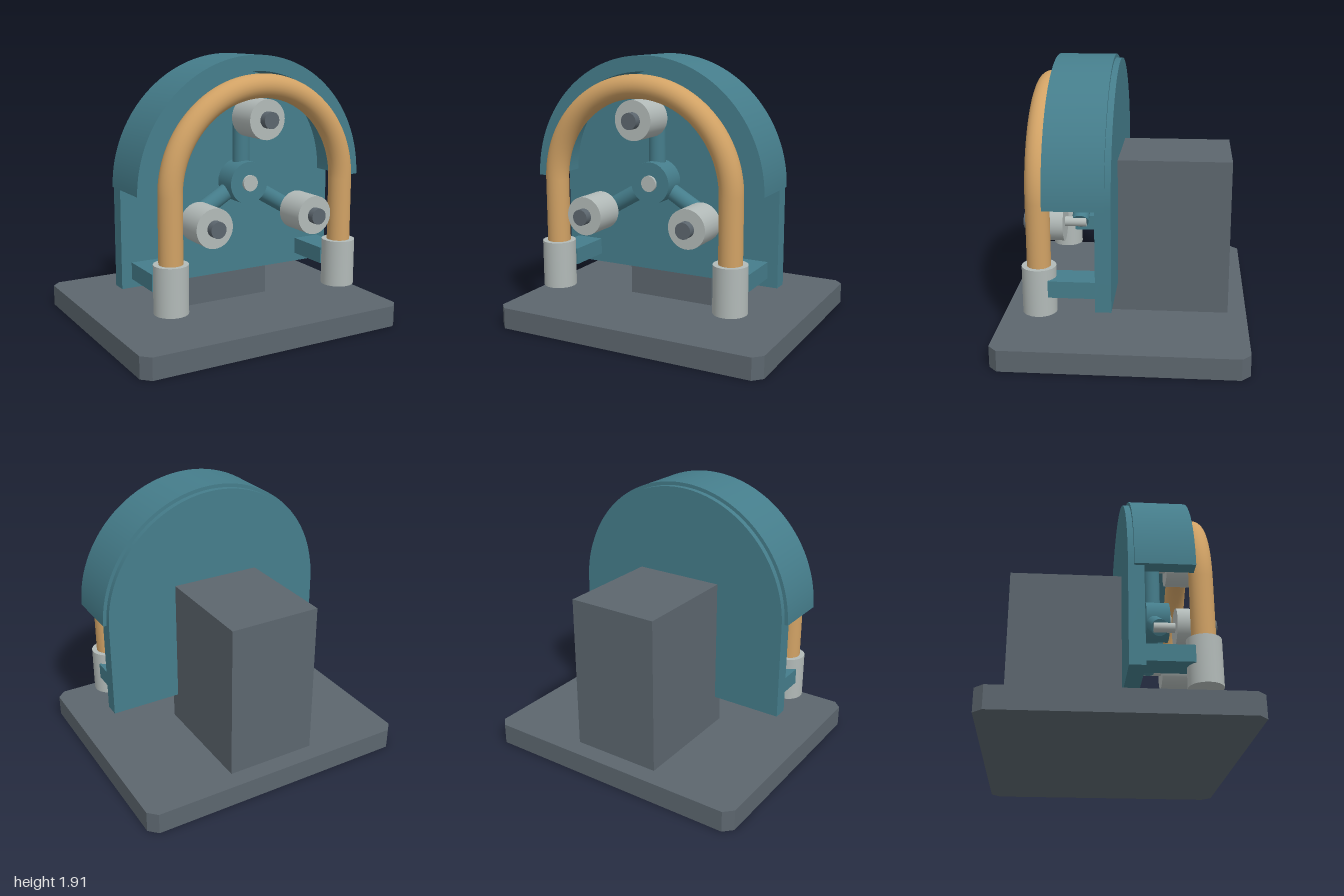
import * as THREE from 'three';
import { toCreasedNormals } from 'three/addons/utils/BufferGeometryUtils.js';

const mat = (color) => new THREE.MeshStandardMaterial({ color });
const AXIS_Y = 1.055; // height of the rotor axis
const TUBE_R = 0.663; // radius of the hose bend
const TUBE_Z = 0.551;

export function createModel() {
  const model = new THREE.Group();
  const dark = mat(0x5c666e), teal = mat(0x457d8b), steel = mat(0xb2bab8), amber = mat(0xd1a265);

  const add = (parent, name, geometry, material, x = 0, y = 0, z = 0) => {
    const mesh = new THREE.Mesh(geometry, material);
    mesh.name = name;
    mesh.position.set(x, y, z);
    parent.add(mesh);
    return mesh;
  };
  // cylinder along z between two depths
  const rod = (parent, name, r, z0, z1, material, x = 0, y = 0) =>
    add(parent, name, new THREE.CylinderGeometry(r, r, z1 - z0, 32).rotateX(Math.PI / 2), material, x, y, (z0 + z1) / 2);
  // shape extruded along z between two depths
  const slab = (shape, z0, z1) => toCreasedNormals(
    new THREE.ExtrudeGeometry(shape, { depth: z1 - z0, bevelEnabled: false, curveSegments: 48 }).translate(0, 0, z0), 0.5);

  // base plate with chamfered corners
  const w = 1, d = 0.85, c = 0.06;
  const outline = new THREE.Shape([
    [w, c - d], [w, d - c], [w - c, d], [c - w, d],
    [-w, d - c], [-w, c - d], [c - w, -d], [w - c, -d],
  ].map(([x, y]) => new THREE.Vector2(x, y)));
  add(model, 'basePlate', slab(outline, 0, 0.15).rotateX(-Math.PI / 2), dark);

  // motor block behind the pump head
  add(model, 'motorBlock', new THREE.BoxGeometry(0.65, 1.1, 0.845), dark, 0, 0.7, -0.2975);

  // arched back plate
  const plate = new THREE.Shape();
  plate.moveTo(-0.835, 0.365);
  plate.lineTo(0.835, 0.365);
  plate.lineTo(0.835, AXIS_Y);
  plate.absarc(0, AXIS_Y, 0.835, 0, Math.PI, false);
  plate.closePath();
  add(model, 'backPlate', slab(plate, 0.055, 0.16), teal);

  // half-ring housing over the hose
  const arch = new THREE.Shape();
  arch.moveTo(0.86, AXIS_Y);
  arch.absarc(0, AXIS_Y, 0.86, 0, Math.PI, false);
  arch.lineTo(-0.755, AXIS_Y);
  arch.absarc(0, AXIS_Y, 0.755, Math.PI, 0, true);
  arch.closePath();
  add(model, 'archHousing', slab(arch, 0.095, 0.49), teal);

  // hose: a half torus with two straight legs
  const hose = new THREE.Group();
  hose.name = 'hose';
  model.add(hose);
  add(hose, 'hoseBend', new THREE.TorusGeometry(TUBE_R, 0.08, 24, 64, Math.PI), amber, 0, AXIS_Y, TUBE_Z);

  for (const side of [-1, 1]) {
    const label = side > 0 ? 'left' : 'right';
    const x = side * TUBE_R;
    add(hose, label + 'HoseLeg', new THREE.CylinderGeometry(0.08, 0.08, AXIS_Y - 0.5, 24, 1, true), amber,
      x, (AXIS_Y + 0.5) / 2, TUBE_Z);
    add(model, label + 'HoseCollar', new THREE.CylinderGeometry(0.115, 0.115, 0.325, 32), steel, x, 0.4525, TUBE_Z);
    add(model, label + 'CollarBracket', new THREE.BoxGeometry(0.2, 0.115, 0.33), teal, x, 0.4825, 0.315);
  }

  // rotor with three roller arms
  const rotor = new THREE.Group();
  rotor.name = 'rotor';
  rotor.position.y = AXIS_Y;
  model.add(rotor);
  rod(rotor, 'hub', 0.145, 0.25, 0.42, teal);
  rod(rotor, 'driveShaft', 0.055, 0.12, 0.44, steel);
  for (let i = 0; i < 3; i++) {
    const arm = new THREE.Group();
    arm.name = 'rollerArm' + (i + 1);
    arm.rotation.z = i * Math.PI * 2 / 3;
    rotor.add(arm);
    add(arm, 'spoke', new THREE.CylinderGeometry(0.058, 0.058, 0.45, 24), teal, 0, 0.225, 0.308);
    rod(arm, 'rollerPin', 0.034, 0.265, 0.45, steel, 0, 0.45);
    rod(arm, 'roller', 0.133, 0.41, 0.637, steel, 0, 0.45);
    rod(arm, 'rollerCap', 0.055, 0.6, 0.69, dark, 0, 0.45);
  }
  return model;
}
